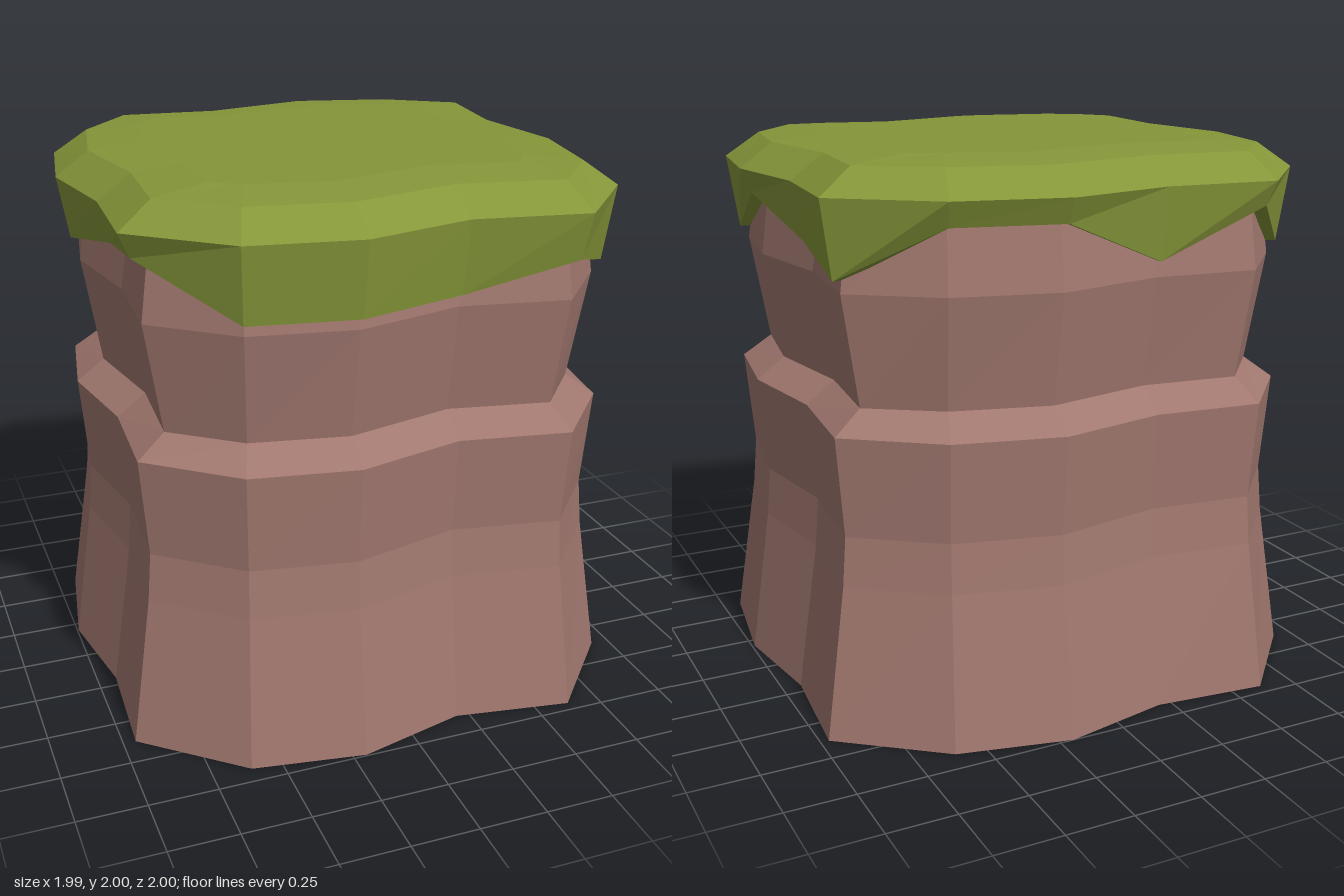
import * as THREE from 'three';

// One outline [x, z] for the whole stump-shaped rock: four wavy sides of four points each,
// with the height of the grass fringe below each point.
const OUTLINE = [
  [0.63, 0.96, 1.72], [0.2, 0.89, 1.62], [-0.2, 0.995, 1.615], [-0.61, 0.93, 1.615],
  [-0.955, 0.63, 1.8], [-0.93, 0.2, 1.74], [-0.995, -0.2, 1.66], [-0.925, -0.62, 1.615],
  [-0.62, -0.955, 1.8], [-0.2, -0.915, 1.63], [0.2, -1.0, 1.8], [0.61, -0.91, 1.8],
  [0.97, -0.635, 1.615], [0.93, -0.2, 1.68], [0.99, 0.2, 1.8], [0.93, 0.62, 1.615],
];

// Pull the outline inwards: fully across its side, a third as far along it at the corners.
function ring(inset, y) {
  return OUTLINE.map(([x, z, fringe]) => {
    const shrink = (v, other) => {
      const major = Math.abs(v) > Math.abs(other);
      const amount = major ? inset : Math.abs(v) > 0.4 ? inset * 0.35 : 0;
      return v - Math.sign(v) * amount;
    };
    return new THREE.Vector3(shrink(x, z), y === 'fringe' ? fringe : y, shrink(z, x));
  });
}

// Join rings from bottom to top, with optional flat caps.
function loft(rings, capBottom, capTop) {
  const points = [];
  const n = OUTLINE.length;
  for (let r = 0; r < rings.length - 1; r++) {
    const low = rings[r], high = rings[r + 1];
    for (let i = 0; i < n; i++) {
      const j = (i + 1) % n;
      points.push(low[j], low[i], high[i], low[j], high[i], high[j]);
    }
  }
  const cap = (loop, up) => {
    const centre = new THREE.Vector3(0, loop[0].y, 0);
    for (let i = 0; i < n; i++) {
      const a = loop[i], b = loop[(i + 1) % n];
      points.push(centre, up ? b : a, up ? a : b);
    }
  };
  if (capBottom) cap(rings[0], false);
  if (capTop) cap(rings[rings.length - 1], true);
  const geometry = new THREE.BufferGeometry().setFromPoints(points);
  geometry.computeVertexNormals();
  return geometry;
}

export function createModel() {
  const group = new THREE.Group();
  group.name = 'grassyRock';

  const rockMaterial = new THREE.MeshStandardMaterial({ color: 0xa1786f, flatShading: true });
  rockMaterial.name = 'rock brown';
  const grassMaterial = new THREE.MeshStandardMaterial({ color: 0x859639, flatShading: true });
  grassMaterial.name = 'grass green';

  // Rock: flared foot, slight waist, ledge and upper block
  const rockProfile = [
    [0, 0], [0.08, 0.55], [0.095, 0.73], [0.065, 1.09],
    [0.17, 1.17], [0.105, 1.57], [0.145, 1.86],
  ];
  const rock = new THREE.Mesh(loft(rockProfile.map(([d, y]) => ring(d, y)), true, true), rockMaterial);
  rock.name = 'rock';

  // Grass: underside lip, ragged fringe, bevelled rim and flat top
  const grassRings = [
    ring(0.135, 'fringe'), ring(0.075, 'fringe'),
    ring(0.035, 1.89), ring(0.158, 1.98), ring(0.36, 2),
  ];
  const grass = new THREE.Mesh(loft(grassRings, false, true), grassMaterial);
  grass.name = 'grassCap';

  group.add(rock, grass);
  return group;
}
